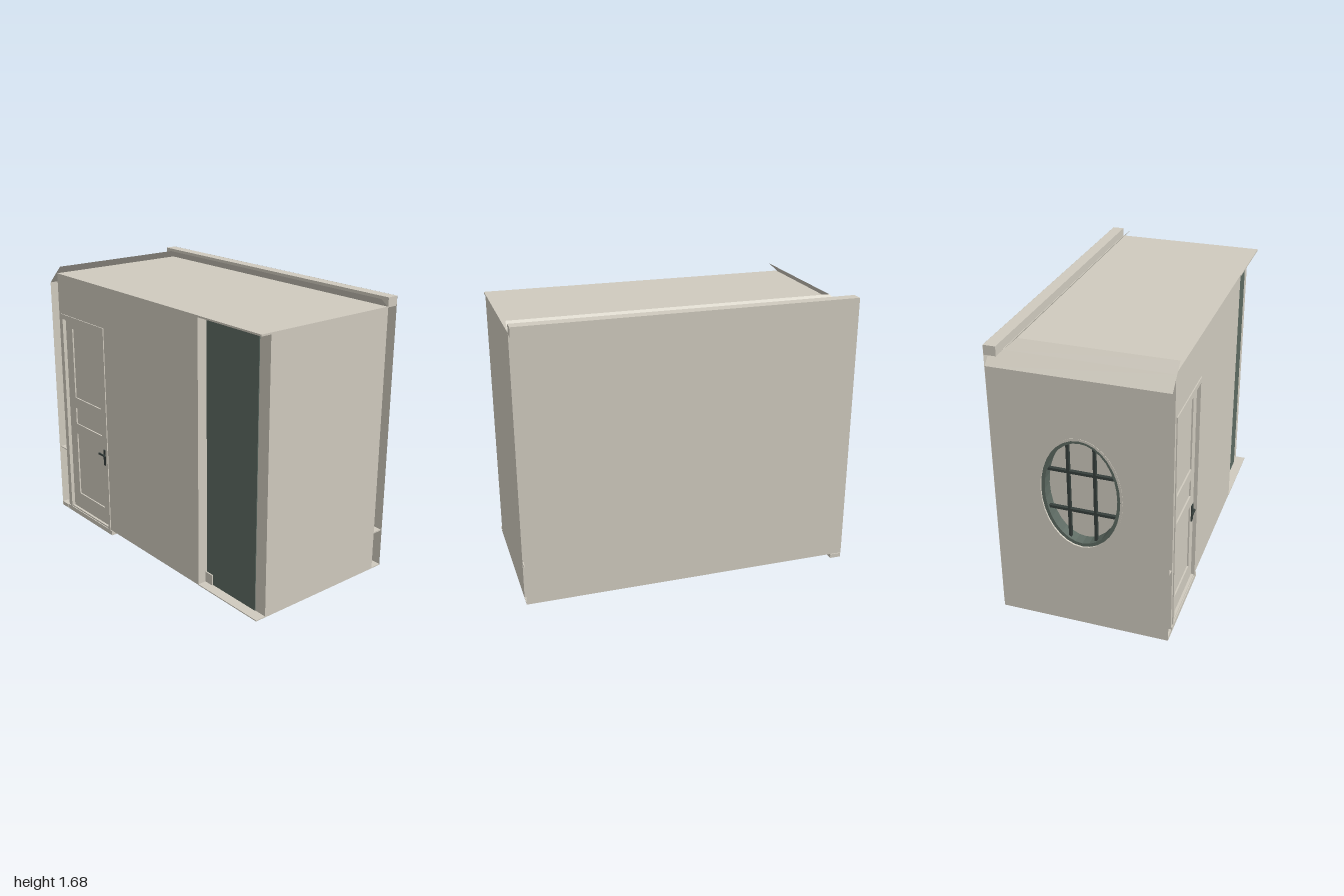
import * as THREE from 'three';

export function createModel() {
  const model = new THREE.Group();
  const wall = new THREE.MeshStandardMaterial({ color: 0xcfcabe, side: THREE.DoubleSide });
  wall.name = 'warm plaster';
  const green = new THREE.MeshStandardMaterial({ color: 0x5d6a62, side: THREE.DoubleSide });
  green.name = 'grey green';
  const dark = new THREE.MeshStandardMaterial({ color: 0x363f3c });
  dark.name = 'dark iron';

  const add = (name, geometry, material = wall) => {
    const mesh = new THREE.Mesh(geometry, material);
    mesh.name = name;
    model.add(mesh);
    return mesh;
  };
  // Box given by its limits on each axis
  const box = (name, [x0, x1], [y0, y1], [z0, z1], material) =>
    add(name, new THREE.BoxGeometry(x1 - x0, y1 - y0, z1 - z0)
      .translate((x0 + x1) / 2, (y0 + y1) / 2, (z0 + z1) / 2), material);
  const quad = (name, a, b, c, d) => {
    const g = new THREE.BufferGeometry();
    g.setAttribute('position', new THREE.Float32BufferAttribute([a, b, c, a, c, d].flat(), 3));
    g.computeVertexNormals();
    return add(name, g);
  };
  const rect = (C, x0, x1, y0, y1) =>
    new C([[x0, y0], [x1, y0], [x1, y1], [x0, y1]].map(p => new THREE.Vector2(...p)));
  const extrude = (shape, depth) =>
    new THREE.ExtrudeGeometry(shape, { depth, bevelEnabled: false, curveSegments: 16 });

  // Room body, with a shallow niche at the right of the front
  box('roomBody', [-0.92, 1], [0.03, 1.63], [-0.43, 0.43]);
  box('nicheRoof', [0.5, 1], [1.62, 1.63], [0.43, 0.495]);
  box('nicheFloor', [0.5, 1], [0.03, 0.036], [0.43, 0.495]);
  box('nichePanel', [0.503, 0.92], [0.036, 1.62], [0.43, 0.434], green);
  box('nicheCornerBlock', [0.5, 0.56], [0.036, 0.1], [0.43, 0.442]);

  // Front wall with the door opening
  const front = rect(THREE.Shape, -0.92, 0.5, 0.03, 1.63);
  front.holes.push(rect(THREE.Path, -0.89, -0.415, 0.04, 1.37));
  add('frontWall', extrude(front, 0.065).translate(0, 0, 0.428));

  // Door casing, leaf with three sunken panels, and threshold
  const casing = rect(THREE.Shape, -0.895, -0.41, 0.03, 1.375);
  casing.holes.push(rect(THREE.Path, -0.875, -0.43, 0.031, 1.345));
  add('doorCasing', extrude(casing, 0.05).translate(0, 0, 0.449));
  const leaf = rect(THREE.Shape, -0.873, -0.432, 0.035, 1.342);
  for (const [y0, y1] of [[0.15, 0.58], [0.65, 0.76], [0.83, 1.29]])
    leaf.holes.push(rect(THREE.Path, -0.8, -0.5, y0, y1));
  add('doorLeaf', extrude(leaf, 0.045).translate(0, 0, 0.432));
  box('doorPanels', [-0.81, -0.49], [0.1, 1.3], [0.431, 0.468]);
  box('doorThreshold', [-0.92, -0.39], [0, 0.03], [0.42, 0.499]);
  box('handlePlate', [-0.48, -0.445], [0.46, 0.565], [0.476, 0.483], dark);
  box('handleStem', [-0.468, -0.457], [0.525, 0.537], [0.48, 0.497], dark);
  box('handleLever', [-0.515, -0.457], [0.528, 0.538], [0.49, 0.499], dark);

  // Outer back wall and its top rail, open at the right end
  quad('backWall', [1, 0.03, -0.5], [-1, 0.03, -0.5], [-1, 1.68, -0.5], [1, 1.68, -0.5]);
  box('backRail', [-1, 1], [1.625, 1.68], [-0.499, -0.43]);
  box('backCavityFloor', [-0.92, 1], [0.03, 0.036], [-0.499, -0.43]);
  box('backLedge', [0.9, 1], [0.262, 0.27], [-0.49, -0.42]);

  // Outer left wall with an oval window opening
  const oval = (C, rz, ry) => {
    const s = new C();
    s.absellipse(0, 0.87, rz, ry, 0, Math.PI * 2, false, 0);
    return s;
  };
  const sideways = (g, x) => g.rotateY(-Math.PI / 2).translate(x, 0, 0);
  const side = rect(THREE.Shape, -0.5, 0.5, 0, 1.56);
  side.holes.push(oval(THREE.Path, 0.235, 0.345));
  add('leftWall', sideways(new THREE.ShapeGeometry(side, 16), -0.998));
  box('leftBase', [-0.998, -0.93], [0, 0.025], [-0.499, 0.499]);
  box('leftLedge', [-0.998, -0.92], [0.427, 0.433], [-0.49, 0.49]);

  // Oval window: plaster sleeve, green sash and glazing bars
  const ring = (name, rz, ry, t, x0, x1, material) => {
    const s = oval(THREE.Shape, rz, ry);
    s.holes.push(oval(THREE.Path, rz - t, ry - t));
    add(name, sideways(extrude(s, x1 - x0), x1), material);
  };
  ring('windowSleeve', 0.24, 0.35, 0.014, -1, -0.92, wall);
  ring('windowSash', 0.226, 0.336, 0.02, -0.99, -0.921, green);
  for (const s of [-1, 1]) {
    const h = 0.318 * Math.sqrt(1 - (0.075 / 0.208) ** 2);
    box('uprightGlazingBar', [-0.975, -0.955], [0.87 - h, 0.87 + h], [s * 0.075 - 0.008, s * 0.075 + 0.008], dark);
    const w = 0.208 * Math.sqrt(1 - (0.12 / 0.318) ** 2), y = 0.87 + s * 0.12;
    box('crossGlazingBar', [-0.975, -0.955], [y - 0.008, y + 0.008], [-w, w], dark);
  }

  // Sloped cornices along the left and back edges
  quad('leftLowerSlope', [-0.998, 1.56, -0.499], [-0.998, 1.56, 0.499], [-0.925, 1.63, 0.499], [-0.925, 1.63, -0.499]);
  quad('leftCornice', [-0.925, 1.63, -0.425], [-0.925, 1.63, 0.499], [-0.87, 1.68, 0.499], [-0.87, 1.68, -0.37]);
  quad('backCornice', [1, 1.63, -0.425], [-0.925, 1.63, -0.425], [-0.87, 1.68, -0.37], [1, 1.68, -0.37]);
  return model;
}
